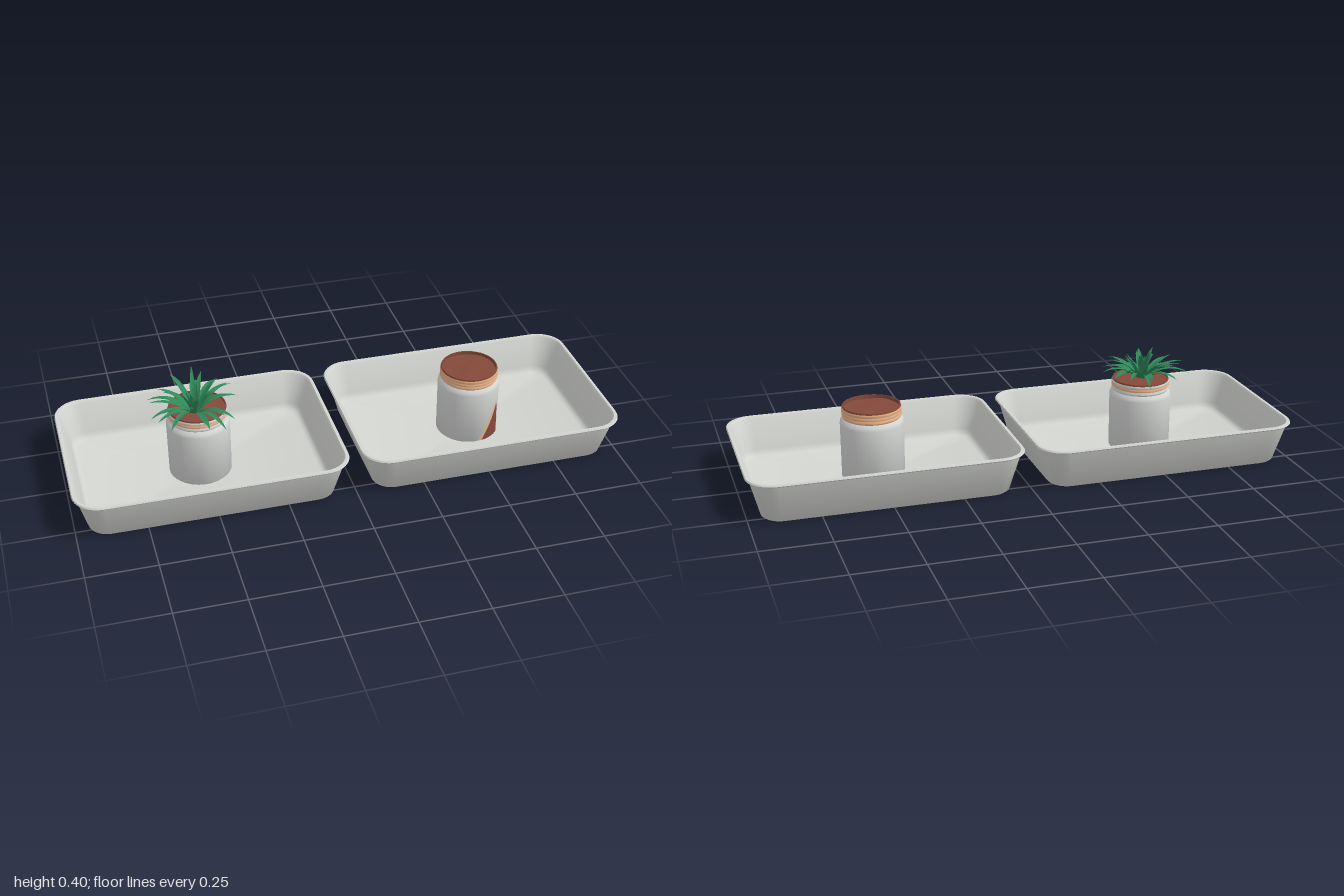
import * as THREE from 'three';
import { mergeGeometries, toCreasedNormals } from 'three/addons/utils/BufferGeometryUtils.js';

const mat = (name, color, side = THREE.FrontSide) => {
  const m = new THREE.MeshStandardMaterial({ color, side });
  m.name = name;
  return m;
};

const add = (group, name, geometry, material) => {
  const mesh = new THREE.Mesh(geometry, material);
  mesh.name = name;
  group.add(mesh);
  return mesh;
};

// Skin a stack of rounded rectangles, each [half width, half depth, corner radius, y]
function loftTray(rings) {
  const steps = 8, n = 4 * (steps + 1), pos = [], idx = [];
  for (const [hw, hd, r, y] of rings) {
    for (let q = 0; q < 4; q++) {
      const sx = q === 0 || q === 3 ? 1 : -1, sz = q < 2 ? 1 : -1;
      for (let s = 0; s <= steps; s++) {
        const a = (q + s / steps) * Math.PI / 2;
        pos.push(sx * (hw - r) + r * Math.cos(a), y, sz * (hd - r) + r * Math.sin(a));
      }
    }
  }
  for (let i = 0; i < rings.length - 1; i++) {
    for (let j = 0; j < n; j++) {
      const k = (j + 1) % n, a = i * n + j, b = i * n + k;
      idx.push(a, a + n, b, b, a + n, b + n);
    }
  }
  const g = new THREE.BufferGeometry();
  g.setAttribute('position', new THREE.Float32BufferAttribute(pos, 3));
  g.setIndex(idx);
  return toCreasedNormals(g, 0.8);
}

const lathe = (pts) =>
  toCreasedNormals(new THREE.LatheGeometry(pts.map(p => new THREE.Vector2(...p)), 48), 0.9);

// Uneven disc of earth
function soilDisc(radius) {
  const g = new THREE.RingGeometry(0.0005, radius, 40, 7).rotateX(-Math.PI / 2);
  const p = g.attributes.position;
  for (let i = 0; i < p.count; i++) {
    const x = p.getX(i), z = p.getZ(i);
    p.setY(i, 0.002 * Math.sin(x * 45 + 1) * Math.cos(z * 38) + 0.001 * Math.sin(x * 60 - z * 70));
  }
  g.computeVertexNormals();
  return g;
}

// Pointed, keeled blade that leaves the centre and arches downwards
function leaf(angle, length, rise, bend, width) {
  const steps = 7, pos = [], idx = [];
  let r = 0.012, y = 0.262;
  for (let i = 0; i <= steps; i++) {
    const t = i / steps, e = rise - bend * t;
    const w = width * (0.55 + 0.9 * t) * (1 - t ** 2.2);
    const fold = w * 0.22;
    pos.push(r - fold * Math.sin(e), y + fold * Math.cos(e), w / 2);
    pos.push(r, y, 0);
    pos.push(r - fold * Math.sin(e), y + fold * Math.cos(e), -w / 2);
    if (i < steps) {
      const a = i * 3;
      for (const k of [a, a + 1]) idx.push(k, k + 1, k + 3, k + 1, k + 4, k + 3);
    }
    r += Math.cos(e) * length / steps;
    y += Math.sin(e) * length / steps;
  }
  const g = new THREE.BufferGeometry();
  g.setAttribute('position', new THREE.Float32BufferAttribute(pos, 3));
  g.setIndex(idx);
  // Wind the blade so that its upper side is the front
  for (let i = 0; i < idx.length; i += 3) [idx[i + 1], idx[i + 2]] = [idx[i + 2], idx[i + 1]];
  g.setIndex(idx);
  g.rotateY(angle);
  g.computeVertexNormals();
  return g;
}

// Tapering plate wrapped on the jar wall, from its base angles up to a tip
function wedge(radius, from, to, tip, height) {
  const g = new THREE.CylinderGeometry(radius, radius, 1, 10, 6, true, 0, 1);
  const p = g.attributes.position, uv = g.attributes.uv;
  for (let i = 0; i < p.count; i++) {
    const v = uv.getY(i), u = uv.getX(i);
    const a = 0.59 + THREE.MathUtils.lerp(from + u * (to - from), tip, v * 0.95);
    p.setXYZ(i, Math.sin(a) * radius, 0.016 + v * height, Math.cos(a) * radius);
  }
  g.computeVertexNormals();
  return g;
}

export function createModel() {
  const root = new THREE.Group();
  root.name = 'plantTrays';
  const trayGrey = mat('paleTray', 0xd2d4d0);
  const glass = mat('paleJar', 0xd6d8d6);
  const peach = mat('peachNeck', 0xeab488);
  const earth = mat('brownSoil', 0x84493a);
  const green = mat('leafGreen', 0x2f8a5a, THREE.DoubleSide);

  // Tray: underside, outer wall, rolled rim, inner wall, floor
  const trayGeo = loftTray([
    [0, 0, 0, 0], [0.432, 0.29, 0.065, 0], [0.439, 0.297, 0.07, 0.006], [0.476, 0.336, 0.09, 0.146],
    [0.486, 0.344, 0.098, 0.146], [0.489, 0.347, 0.1, 0.15],
    [0.486, 0.344, 0.098, 0.155], [0.476, 0.334, 0.09, 0.155], [0.47, 0.328, 0.086, 0.148],
    [0.441, 0.301, 0.064, 0.034], [0.436, 0.296, 0.06, 0.022], [0.428, 0.288, 0.053, 0.013],
    [0.416, 0.276, 0.045, 0.009], [0, 0, 0, 0.008],
  ]);

  // Jar body and ribbed neck
  const bodyGeo = lathe([
    [0, 0.009], [0.106, 0.009], [0.113, 0.016], [0.114, 0.214], [0.112, 0.225], [0.105, 0.233], [0.103, 0.236],
  ]);
  const neck = [[0.103, 0.234]];
  for (let i = 0; i < 3; i++) {
    const y = 0.238 + i * 0.012;
    neck.push([0.104, y], [0.107, y + 0.003], [0.107, y + 0.007], [0.104, y + 0.01]);
  }
  neck.push([0.104, 0.273], [0.104, 0.277], [0.103, 0.279], [0.1, 0.279], [0.099, 0.255]);
  const neckGeo = lathe(neck.slice(0, 14));
  const lowerNeckGeo = lathe(neck.slice(0, 6));
  const upperNeckGeo = lathe(neck.slice(5, 10));
  const topNeckGeo = lathe(neck.slice(9, 14));
  const lipGeo = lathe(neck.slice(13));

  for (const side of [-1, 1]) {
    const set = new THREE.Group();
    set.name = side < 0 ? 'plantedTray' : 'soilTray';
    set.position.x = side * 0.511;
    root.add(set);
    add(set, 'tray', trayGeo, trayGrey);

    const jar = new THREE.Group();
    jar.name = 'jar';
    set.add(jar);
    add(jar, 'jarBody', bodyGeo, glass);
    if (side > 0) {
      add(jar, 'jarNeck', neckGeo, peach);
      add(jar, 'jarLip', lipGeo, earth);
      // Wedge of earth showing low on the jar's front
      add(jar, 'patchEdge', wedge(0.115, -0.52, 0.36, 0.2, 0.14), peach);
      add(jar, 'soilPatch', wedge(0.116, -0.4, 0.36, 0.26, 0.13), earth);
    } else {
      add(jar, 'lowerNeck', lowerNeckGeo, glass);
      add(jar, 'neckBand', upperNeckGeo, peach);
      add(jar, 'topNeck', topNeckGeo, glass);
      add(jar, 'jarLip', lipGeo, earth);
    }
    add(jar, 'soil', soilDisc(0.1), earth).position.y = side > 0 ? 0.266 : 0.272;
  }

  // Spiky rosette: tiers of [count, length, rise, bend, width]
  const tiers = [
    [12, 0.172, 0.75, 1.2, 0.026], [11, 0.155, 0.9, 0.9, 0.027],
    [8, 0.13, 1.1, 0.5, 0.027], [5, 0.1, 1.4, 0.3, 0.024],
  ];
  let seed = 7;
  const rnd = () => (seed = (seed * 16807) % 2147483647) / 2147483647 - 0.5;
  for (let i = 0; i < 5; i++) rnd();
  const leaves = [];
  tiers.forEach(([count, length, rise, bend, width], t) => {
    for (let i = 0; i < count; i++) {
      const angle = (i + 0.5 * t + rnd() * 0.9) / count * Math.PI * 2;
      leaves.push(leaf(angle, length * (1 + rnd() * 0.3), rise + rnd() * 0.4, bend + rnd() * 0.4, width));
    }
  });
  leaves.push(leaf(1.45, 0.162, 1.12, 0.2, 0.022)); // tallest blade, leaning back
  const rosette = add(root.getObjectByName('plantedTray'), 'leaves', mergeGeometries(leaves), green);
  rosette.position.set(-0.012, 0, 0.015);

  return root;
}
